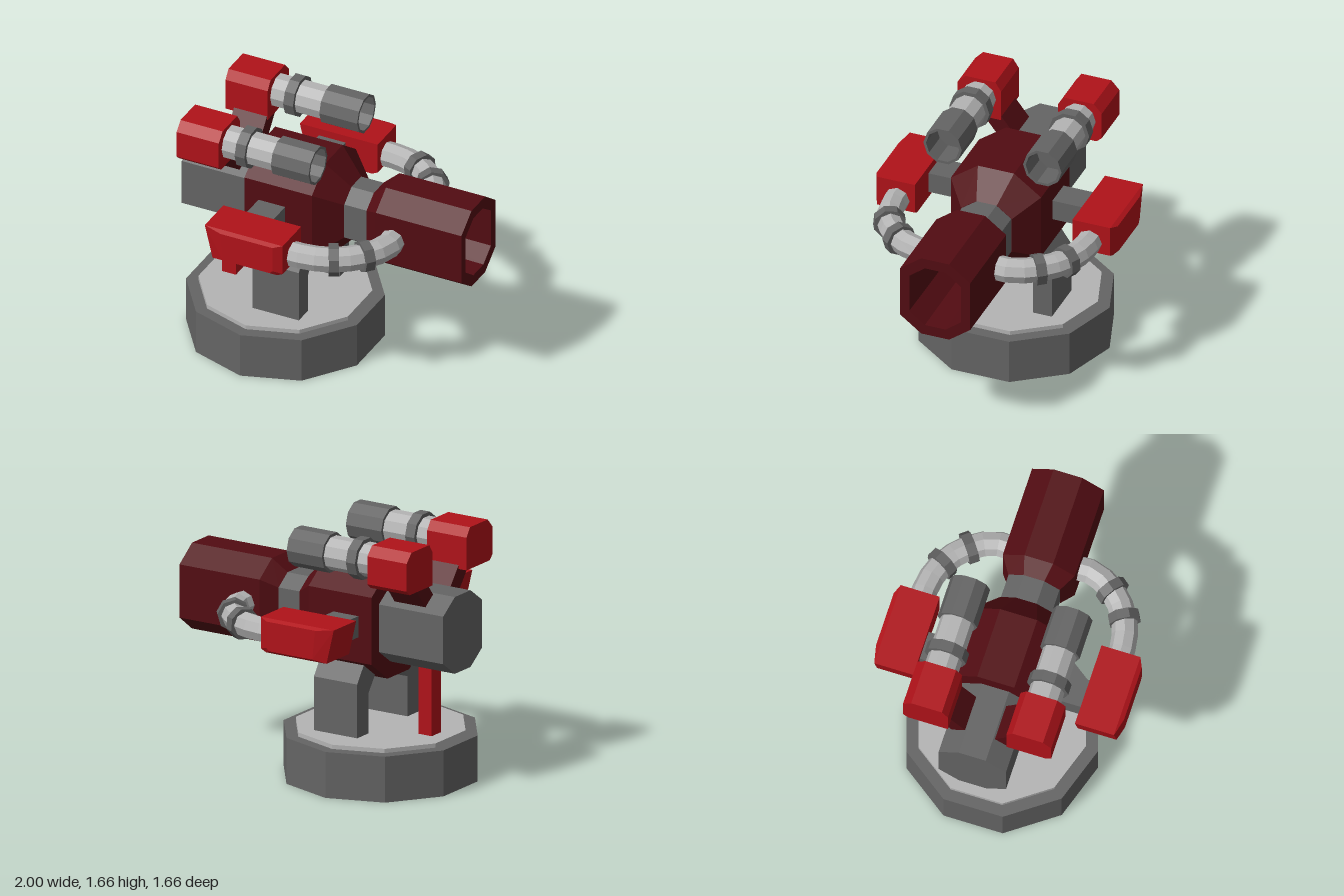
import * as THREE from 'three';

const RED = 0xb01219, MAROON = 0x520c12, DARK = 0x646464, LIGHT = 0xb4b4b4;
const CY = 1.045; // height of the gun axis

// Skin a list of point rings (counter-clockwise seen from the advancing axis)
function loft(rings, capStart = true, capEnd = true) {
  const pos = [], n = rings[0].length;
  const tri = (a, b, c) => pos.push(...a, ...b, ...c);
  for (let r = 0; r < rings.length - 1; r++) {
    const A = rings[r], B = rings[r + 1];
    for (let i = 0; i < n; i++) {
      const j = (i + 1) % n;
      tri(A[i], A[j], B[j]);
      tri(A[i], B[j], B[i]);
    }
  }
  const first = rings[0], last = rings[rings.length - 1];
  for (let i = 1; i < n - 1; i++) {
    if (capStart) tri(first[0], first[i + 1], first[i]);
    if (capEnd) tri(last[0], last[i], last[i + 1]);
  }
  const g = new THREE.BufferGeometry();
  g.setAttribute('position', new THREE.Float32BufferAttribute(pos, 3));
  g.computeVertexNormals();
  return g;
}

// Chamfered octagon across the gun axis, with half height h and half width w
function octagon(x, h, w) {
  const a = 0.4 * w, b = 0.62 * h;
  return [[h, -a], [h, a], [b, w], [-b, w], [-h, a], [-h, -a], [-b, -w], [b, -w]]
    .map(([y, z]) => [x, CY + y, z]);
}

// Extrude a [z, y] profile from x0 to x1
function slab(profile, x0, x1) {
  const shape = new THREE.Shape(profile.map(([z, y]) => new THREE.Vector2(z, y)));
  return new THREE.ExtrudeGeometry(shape, { depth: x1 - x0, bevelEnabled: false })
    .rotateY(-Math.PI / 2).translate(x1, 0, 0);
}

// Box given by its limits
function block(x0, x1, y0, y1, z0, z1) {
  return new THREE.BoxGeometry(x1 - x0, y1 - y0, z1 - z0)
    .translate((x0 + x1) / 2, (y0 + y1) / 2, (z0 + z1) / 2);
}

// Cylinder along x
function rod(x0, x1, r, y, z, open = false) {
  return new THREE.CylinderGeometry(r, r, x1 - x0, 10, 1, open)
    .rotateZ(-Math.PI / 2).translate((x0 + x1) / 2, y, z);
}

// Mirror a geometry across z = 0, keeping its faces outward
function mirrorZ(geometry) {
  const g = geometry.index ? geometry.toNonIndexed() : geometry.clone();
  const p = g.attributes.position, a = new THREE.Vector3(), b = new THREE.Vector3();
  for (let i = 0; i < p.count; i += 3) {
    a.fromBufferAttribute(p, i + 1);
    b.fromBufferAttribute(p, i + 2);
    p.setXYZ(i + 1, b.x, b.y, b.z);
    p.setXYZ(i + 2, a.x, a.y, a.z);
  }
  for (let i = 0; i < p.count; i++) p.setZ(i, -p.getZ(i));
  g.computeVertexNormals();
  return g;
}

export function createModel() {
  const model = new THREE.Group();
  model.name = 'turret';

  const materials = {};
  const material = (color) => materials[color] ??= new THREE.MeshStandardMaterial({ color, flatShading: true });
  const add = (name, geometry, color) => {
    const mesh = new THREE.Mesh(geometry, material(color));
    mesh.name = name;
    model.add(mesh);
  };
  const addPair = (name, geometry, color) => {
    add(name + 'Left', geometry, color);
    add(name + 'Right', mirrorZ(geometry), color);
  };

  // Ten-sided base with a raised plate
  add('base', new THREE.CylinderGeometry(0.64, 0.64, 0.305, 10).translate(-0.375, 0.1525, 0), DARK);
  add('basePlate', new THREE.CylinderGeometry(0.56, 0.56, 0.03, 10).translate(-0.375, 0.318, 0), LIGHT);

  // Supports under the gun
  add('rearPost', block(-0.8, -0.7, 0.33, 0.85, -0.055, 0.055), RED);
  addPair('leg', slab([[0.225, 0.33], [0.355, 0.33], [0.355, 0.69], [0.25, 0.84],
    [0.1, 0.84], [0.1, 0.77], [0.225, 0.6]], -0.43, -0.1), DARK);

  // Gun: rear block, body, neck and hollow barrel
  add('rearBlock', loft([octagon(-1, 0.255, 0.225), octagon(-0.5, 0.255, 0.225)]), DARK);
  add('body', loft([octagon(-0.51, 0.36, 0.31), octagon(-0.03, 0.36, 0.31), octagon(0.13, 0.2, 0.175)]), MAROON);
  add('neck', loft([octagon(0.12, 0.2, 0.17), octagon(0.38, 0.2, 0.17)]), DARK);
  add('barrel', loft([octagon(0.29, 0.2, 0.172), octagon(0.39, 0.285, 0.24), octagon(1, 0.285, 0.24),
    octagon(1, 0.215, 0.178), octagon(0.375, 0.2, 0.169)], false, false), MAROON);

  // Side pods with a tapered outer face, held by short arms
  const podProfile = (z, xBack, xBackLow, xFrontLow, xFront, top, low, bottom) =>
    [[xBackLow, bottom], [xFrontLow, bottom], [xFront, low], [xFront, top], [xBack, top]].map(([x, y]) => [x, y, z]);
  addPair('pod', loft([
    podProfile(0.54, -0.545, -0.49, -0.03, 0.01, 1.18, 0.97, 0.95),
    podProfile(0.8, -0.545, -0.49, -0.03, 0.01, 1.18, 0.97, 0.95),
    podProfile(0.828, -0.42, -0.4, -0.07, -0.05, 1.165, 0.99, 0.97),
  ]), RED);
  addPair('podArm', block(-0.41, -0.22, 0.99, 1.13, 0.28, 0.56), DARK);

  // Curved pipes from the pods to the barrel, each with two bands
  const path = new THREE.CatmullRomCurve3([[-0.03, 0.66], [0.12, 0.655], [0.28, 0.605], [0.43, 0.48],
    [0.508, 0.33], [0.51, 0.2]].map(([x, z]) => new THREE.Vector3(x, CY, z)));
  addPair('pipe', new THREE.TubeGeometry(path, 8, 0.084, 8), LIGHT);
  for (const [name, t] of [['rearBand', 0.385], ['frontBand', 0.635]]) {
    const at = path.getPointAt(t), dir = path.getTangentAt(t);
    const turn = new THREE.Quaternion().setFromUnitVectors(new THREE.Vector3(0, 1, 0), dir);
    addPair(name, new THREE.CylinderGeometry(0.106, 0.106, 0.065, 8)
      .applyQuaternion(turn).translate(at.x, at.y, at.z), DARK);
  }

  // Two upper guns on slanted brackets
  const y = 1.533, z = 0.342;
  addPair('upperBracket', slab([[0.09, 1.28], [0.18, 1.22], [0.33, 1.41], [0.2, 1.42]], -0.84, -0.605), MAROON);
  addPair('upperHousing', slab([[0.195, 1.388], [0.46, 1.388], [0.495, 1.42], [0.495, 1.605],
    [0.44, 1.665], [0.235, 1.665], [0.195, 1.605]], -0.9, -0.6), RED);
  addPair('upperTube', rod(-0.61, -0.2, 0.112, y, z), LIGHT);
  addPair('upperRing', rod(-0.495, -0.425, 0.138, y, z), DARK);
  const muzzle = [[0, -0.24], [0.132, -0.24], [0.132, 0.03], [0.114, 0.03], [0.114, -0.15], [0, -0.15]];
  addPair('upperMuzzle', new THREE.LatheGeometry(muzzle.map(([r, h]) => new THREE.Vector2(r, h)), 10)
    .rotateZ(-Math.PI / 2).translate(0, y, z), DARK);

  return model;
}
